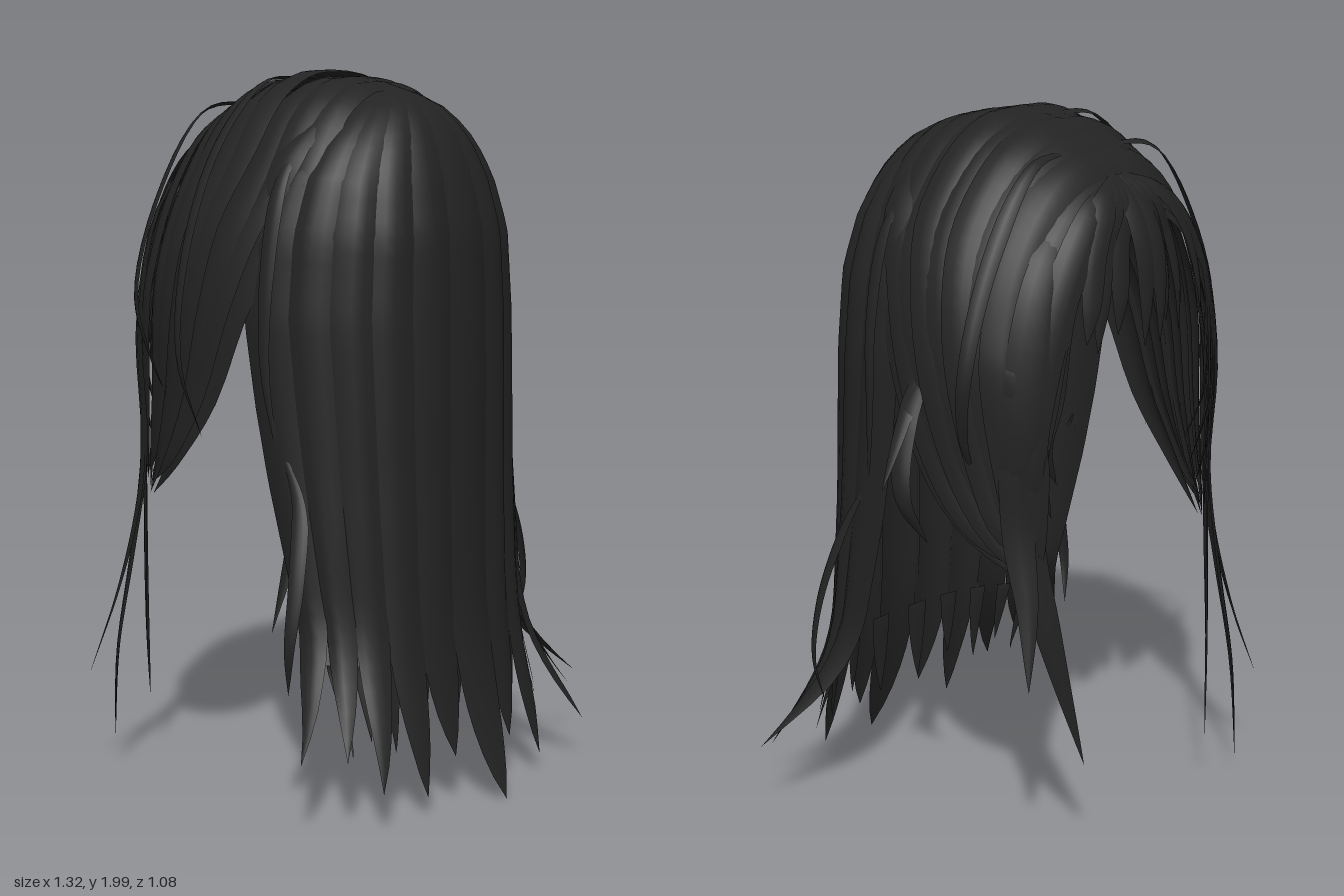
import * as THREE from 'three';

const hair = new THREE.MeshStandardMaterial({ color: 0x232323, side: THREE.DoubleSide });
hair.name = 'black hair';

// Mesh over a grid: fn(u, v) with u in -1..1 across and v in 0..1 from root to tip
function sheet(name, fn, nu, nv) {
  const pos = [], index = [];
  for (let j = 0; j <= nv; j++) {
    for (let i = 0; i <= nu; i++) {
      pos.push(...fn((2 * i) / nu - 1, j / nv).toArray());
      if (i < nu && j < nv) {
        const a = j * (nu + 1) + i, b = a + nu + 1;
        index.push(a, a + 1, b, a + 1, b + 1, b);
      }
    }
  }
  const g = new THREE.BufferGeometry();
  g.setAttribute('position', new THREE.Float32BufferAttribute(pos, 3));
  g.setIndex(index);
  g.computeVertexNormals();
  const mesh = new THREE.Mesh(g, hair);
  mesh.name = name;
  return mesh;
}

// Tapered lock along a path, arched away from the head; sx mirrors it in x
function lock(name, points, width, sx = 1, root = 1, power = 3) {
  const curve = new THREE.CatmullRomCurve3(points.map(([x, y, z]) => new THREE.Vector3(x * sx, y, z)));
  return sheet(name, (u, v) => {
    const p = curve.getPoint(v), t = curve.getTangent(v);
    const out = p.clone().sub(new THREE.Vector3(0, Math.min(p.y, 1.4), 0));
    out.addScaledVector(t, -out.dot(t)).normalize();
    const side = new THREE.Vector3().crossVectors(t, out);
    const grow = root + (1 - root) * Math.min(1, v * 3);
    const w = width * grow * (1 - v ** power);
    return p.addScaledVector(side, u * w).addScaledVector(out, 0.25 * w * (1 - u * u));
  }, 4, 28);
}

// Linear lookup in rows of [key, value...] with falling keys
function lookup(rows, key, col) {
  let i = 0;
  while (i < rows.length - 2 && key < rows[i + 1][0]) i++;
  const [a, b] = [rows[i], rows[i + 1]];
  const k = THREE.MathUtils.clamp((a[0] - key) / (a[0] - b[0]), 0, 1);
  return a[col] + (b[col] - a[col]) * k;
}

// Back curtain by height: y, half width, z of the side edge, z of the back
const BACK = [
  [1.95, 0, 0.13, 0.14], [1.92, 0.1, 0.11, 0.22], [1.88, 0.19, 0.09, 0.28], [1.8, 0.29, 0.065, 0.33],
  [1.7, 0.365, 0.04, 0.365], [1.55, 0.42, 0.02, 0.395], [1.33, 0.445, 0.02, 0.402], [1.1, 0.44, 0.05, 0.405],
  [0.9, 0.435, 0.085, 0.405], [0.6, 0.43, 0.155, 0.41], [0.4, 0.43, 0.215, 0.42], [0.2, 0.43, 0.32, 0.43], [0, 0.43, 0.35, 0.44],
];
function backPoint(angle, y) {
  const rx = lookup(BACK, y, 1), z0 = lookup(BACK, y, 2), z1 = lookup(BACK, y, 3);
  const s = Math.sin(angle), c = Math.cos(angle);
  return new THREE.Vector3(
    rx * Math.sign(s) * Math.abs(s) ** 0.88, y,
    z0 + (z1 - z0) * Math.sign(c) * Math.abs(c) ** 0.88);
}
// Lock of the curtain from height top to its tip; a negative bulge tucks it inside
function backLock(angle, half, tip, top, bulge) {
  const end = new THREE.Vector3(...tip);
  const shift = end.clone().sub(backPoint(angle, end.y));
  return sheet('backLock', (u, v) => {
    const y = top + (end.y - top) * v ** 1.2;
    const k = Math.max(0, (0.56 - y) / (0.56 - end.y));
    const p = backPoint(angle - u * half * (1 - k ** 3.2), y);
    const lift = bulge * (1 - u * u) * Math.min(1, v * 4) * (1 - k);
    p.x += Math.sin(angle) * lift;
    p.z += Math.cos(angle) * lift;
    return p.addScaledVector(shift, k ** 1.8);
  }, 4, 36);
}

// Head shape along the parting: z, height of the parting, half width
const TOP = [
  [0.15, 1.95, 0.43], [0, 1.965, 0.44], [-0.1, 1.98, 0.465], [-0.2, 1.96, 0.475],
  [-0.3, 1.915, 0.46], [-0.4, 1.84, 0.425], [-0.46, 1.77, 0.38],
];

export function createModel() {
  const model = new THREE.Group();
  model.name = 'longHair';
  const step = THREE.MathUtils.degToRad(17);

  // Back curtain with flared tips
  const tips = [
    [0, 0.005, 0.54], [0.13, 0.14, 0.46], [0.27, 0.06, 0.47],
    [0.48, 0.12, 0.48], [0.53, 0.2, 0.4], [0.65, 0.21, 0.34],
  ];
  const back = new THREE.Group();
  back.name = 'backHair';
  tips.forEach(([x, y, z], i) => {
    for (const s of i ? [1, -1] : [1]) back.add(backLock(s * i * step, step * 0.54, [s * x, y, z], 1.95, 0.014));
  });
  // Small tips between the large ones
  for (let i = 0; i < 5; i++) {
    for (const s of [1, -1]) {
      const a = s * (i + 0.5) * step, p = backPoint(a, 0.2);
      back.add(backLock(a, step * 0.28, [p.x * 1.03, 0.18 + 0.04 * (i % 2), p.z - 0.01], 0.42, -0.006));
    }
  }
  model.add(back);

  for (const s of [1, -1]) {
    const side = new THREE.Group();
    side.name = s > 0 ? 'leftHair' : 'rightHair';

    // Side locks falling from the parting and sweeping forward along the lower edge
    const count = 9;
    for (let i = 0; i < count; i++) {
      const f = i / (count - 1), lift = (i % 2) * 0.008;
      const z = 0.1 - 0.52 * f, top = lookup(TOP, z, 1) + lift - 0.01, X = lookup(TOP, z, 2) + lift;
      const at = (y, zz, scale) => [(lookup(TOP, zz, 2) + lift) * scale, y, zz];
      const z138 = -0.05 - 0.37 * f;
      side.add(lock('sideLock', [
        [-0.012, top, z], [X * 0.25, top - 0.01, z], [X * 0.52, top - 0.075, z], [X * 0.79, top - 0.23, z],
        at(top - 0.4, z + (z138 - z) * 0.5, 0.94), at(1.36, z138, 0.99),
        at(1.12, -0.145 - 0.285 * f, 0.96), at(0.95, -0.265 - 0.17 * f, 0.94),
        at(0.81 + 0.03 * (i % 3), -0.41 - 0.04 * f, 0.92),
      ], 0.058, s, 1, 7));
    }
    // Short lock closing the seam above the ear
    side.add(lock('seamLock', [
      [0.2, 1.9, 0.1], [0.35, 1.75, 0.06], [0.42, 1.55, 0.01], [0.44, 1.33, -0.02],
    ], 0.05, s, 0.3, 4));

    // Crescent locks framing the face
    for (let i = 0; i < 3; i++) {
      side.add(lock('faceLock', [
        [0.01, 1.83 - i * 0.02, -0.41 - i * 0.01], [0.17, 1.76 - i * 0.02, -0.45], [0.3, 1.57, -0.46],
        [0.375 - i * 0.02, 1.3, -0.45], [0.385 - i * 0.02, 1.08 + i * 0.05, -0.44],
        [0.32 - i * 0.02, 0.88 + i * 0.09, -0.43],
      ], 0.05, s, 0.4));
    }

    // Fringe over the forehead
    for (let i = 0; i < 4; i++) {
      const x = 0.03 + i * 0.066, z = [-0.525, -0.49, -0.48, -0.5][i];
      side.add(lock('fringeLock', [
        [0.01, 1.84, -0.4], [x * 0.5, 1.79, -0.45], [x * 0.85, 1.68, z + 0.02],
        [x, 1.54, z], [x * 1.08, 1.4 + (i % 2) * 0.04, z],
      ], 0.04, s, 0.3, 4));
    }

    // Loose hairs arching off the sides
    const loose = [
      [[0.05, 1.9, -0.3], [0.25, 1.88, -0.32], [0.43, 1.66, -0.33], [0.53, 1.38, -0.33], [0.5, 1.2, -0.3], [0.44, 1.08, -0.29]],
      [[0.44, 1, 0.1], [0.46, 0.85, 0.18], [0.52, 0.65, 0.22], [0.55, 0.48, 0.22], [0.53, 0.35, 0.2]],
      [[0.25, 1.86, 0.07], [0.39, 1.7, 0.07], [0.455, 1.45, 0.07], [0.465, 1.2, 0.07], [0.445, 0.95, 0.1]],
    ];
    for (const path of loose) side.add(lock('looseHair', path, 0.025, s, 0.1));
    model.add(side);
  }

  // Long front locks, the right ones longer
  const longLocks = [
    [-1, [[0.1, 1.83, -0.38], [0.32, 1.62, -0.42], [0.4, 1.3, -0.43], [0.41, 0.95, -0.41], [0.41, 0.65, -0.46], [0.44, 0.35, -0.5], [0.42, 0.07, -0.54]], 0.075],
    [-1, [[0.32, 1.6, -0.41], [0.41, 1.2, -0.41], [0.43, 0.85, -0.41], [0.45, 0.55, -0.48], [0.54, 0.3, -0.52]], 0.045],
    [-1, [[0.3, 1.6, -0.42], [0.39, 1.2, -0.42], [0.39, 0.8, -0.43], [0.34, 0.45, -0.48], [0.28, 0.18, -0.53]], 0.045],
    [1, [[0.1, 1.83, -0.38], [0.32, 1.62, -0.42], [0.4, 1.3, -0.43], [0.39, 0.95, -0.41], [0.34, 0.65, -0.46], [0.25, 0.27, -0.51]], 0.07],
    [1, [[0.32, 1.6, -0.41], [0.41, 1.2, -0.41], [0.41, 0.95, -0.41], [0.42, 0.75, -0.45], [0.46, 0.54, -0.49]], 0.05],
  ];
  for (const [s, path, w] of longLocks) model.add(lock('longFrontLock', path, w, s, 0.4, 3));

  // Stray hairs that appear on one side only
  const strays = [
    [-1, [[0.02, 1.97, -0.14], [0.2, 1.955, -0.15], [0.4, 1.78, -0.15], [0.53, 1.5, -0.15], [0.56, 1.22, -0.15], [0.48, 1, -0.14]], 0.025],
    [1, [[0.47, 1.35, -0.12], [0.5, 1.27, -0.11], [0.57, 1.18, -0.13], [0.67, 1.08, -0.17]], 0.025],
    [1, [[0.47, 1.33, -0.13], [0.53, 1.2, -0.12], [0.57, 1.03, -0.15], [0.51, 0.9, -0.18]], 0.035],
  ];
  for (const [s, path, w] of strays) model.add(lock('strayHair', path, w, s, 0.5));

  return model;
}
